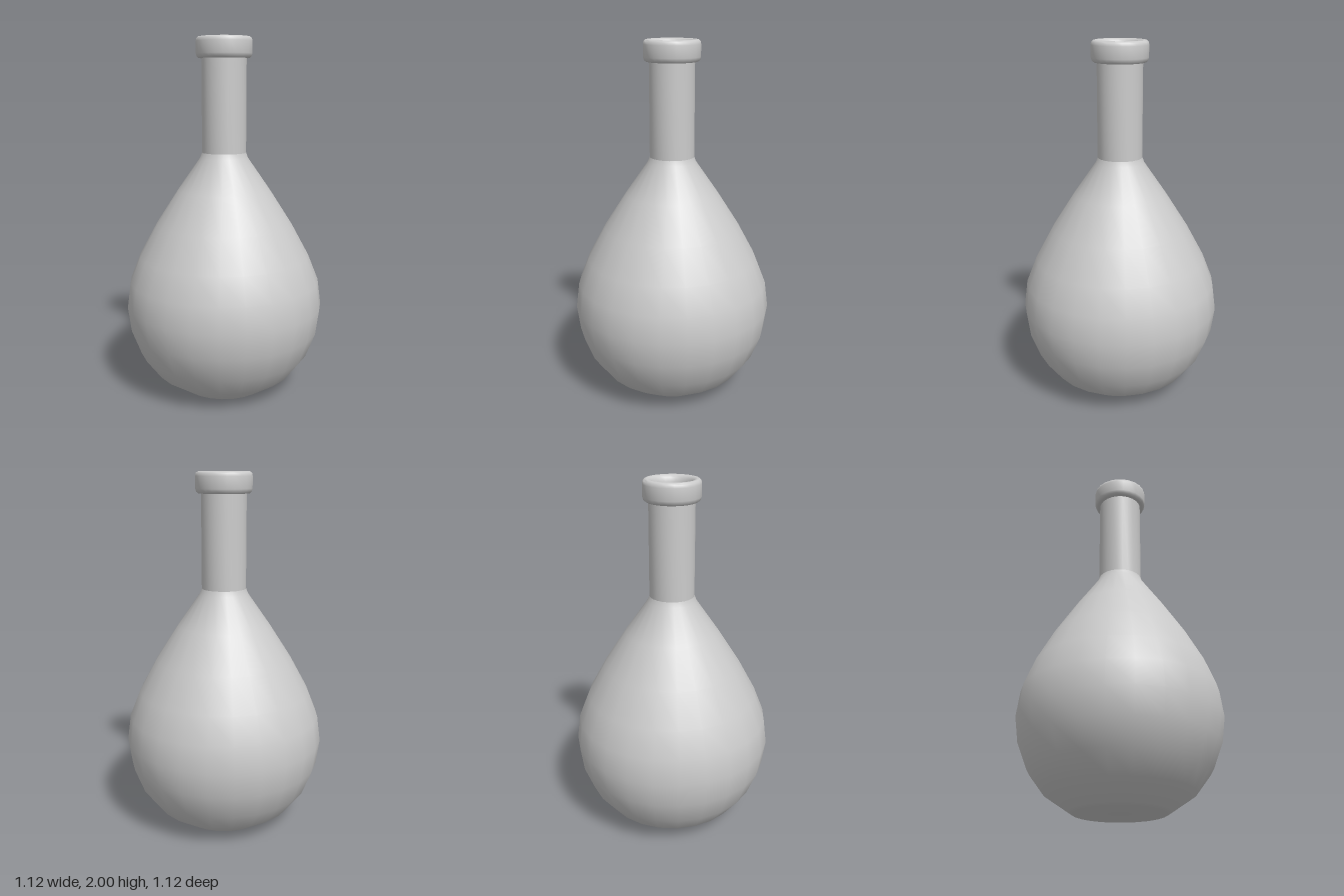
import * as THREE from 'three';
import { toCreasedNormals } from 'three/addons/utils/BufferGeometryUtils.js';

const SEGMENTS = 24;
const material = new THREE.MeshStandardMaterial({ color: 0xcccccc });

// Revolves [radius, height] pairs; the profile runs upward on outward-facing surfaces.
function turned(name, profile) {
  const points = profile.map(([r, y]) => new THREE.Vector2(r, y));
  const geometry = toCreasedNormals(new THREE.LatheGeometry(points, SEGMENTS), 0.9);
  const mesh = new THREE.Mesh(geometry, material);
  mesh.name = name;
  return mesh;
}

export function createModel() {
  const flask = new THREE.Group();
  flask.name = 'flask';

  // Pear-shaped belly on a flat base
  const belly = [
    [0.265, 0.01], [0.4, 0.1], [0.487, 0.215], [0.541, 0.355], [0.56, 0.497],
    [0.541, 0.64], [0.483, 0.785], [0.385, 0.965], [0.26, 1.16], [0.135, 1.34],
  ];
  flask.add(turned('body', [[0, 0], [0.25, 0], ...belly, [0.124, 1.37]]));

  // Straight neck
  flask.add(turned('neck', [[0.124, 1.37], [0.124, 1.89]]));

  // Rounded collar, rolling over into the mouth
  flask.add(turned('rim', [
    [0.122, 1.885], [0.14, 1.885], [0.15, 1.893], [0.155, 1.91], [0.155, 1.975],
    [0.152, 1.99], [0.143, 1.998], [0.132, 2], [0.12, 1.996], [0.11, 1.985],
    [0.104, 1.965], [0.1, 1.92], [0.09, 1.88],
  ]));

  // Inner wall, running down the neck to the floor
  const wall = 0.025;
  const inside = belly.slice(1, -1).reverse().map(([r, y]) => [r - wall, y]);
  flask.add(turned('interior', [
    [0.09, 1.88], [0.09, 1.37], [0.105, 1.335], ...inside, [0.25, 0.025], [0, 0.025],
  ]));

  return flask;
}
